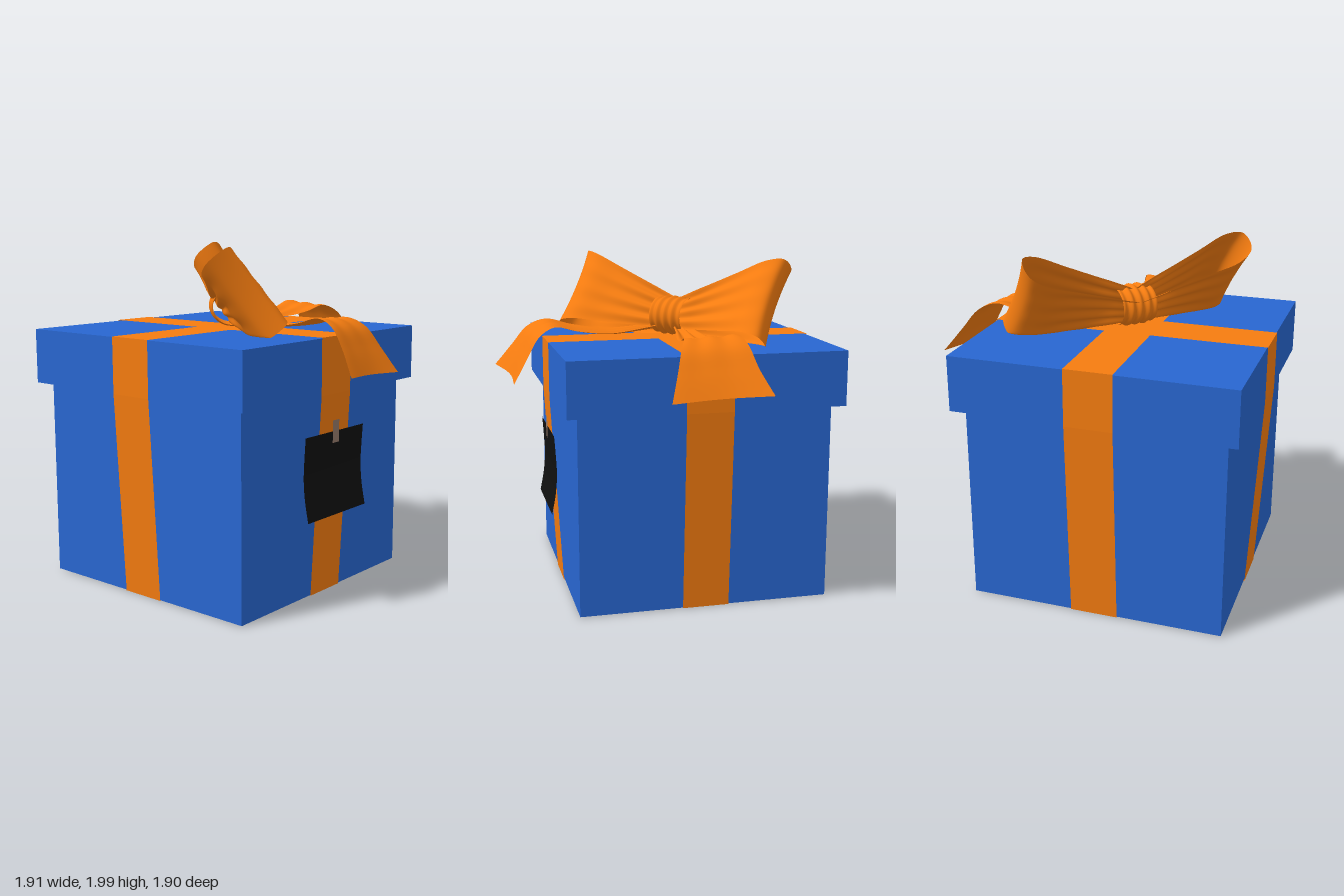
import * as THREE from 'three';

const mat = (color) => new THREE.MeshStandardMaterial({ color, side: THREE.DoubleSide });

// Surface sampled from fn(s, t) -> [x, y, z], with s and t in 0..1
function sheet(ns, nt, fn, flat = false) {
  const pos = [], idx = [];
  for (let i = 0; i <= ns; i++) {
    for (let j = 0; j <= nt; j++) {
      pos.push(...fn(i / ns, j / nt));
      if (i < ns && j < nt) {
        const a = i * (nt + 1) + j, b = a + nt + 1;
        idx.push(a, b, a + 1, b, b + 1, a + 1);
      }
    }
  }
  let geo = new THREE.BufferGeometry();
  geo.setAttribute('position', new THREE.Float32BufferAttribute(pos, 3));
  geo.setIndex(idx);
  if (flat) geo = geo.toNonIndexed();
  geo.computeVertexNormals();
  return geo;
}

export function createModel() {
  const model = new THREE.Group();
  const blue = mat(0x2866d0), orange = mat(0xf57c10);
  const black = mat(0x101010), clipGrey = mat(0x94796a);
  const CX = -0.14, CZ = -0.13;

  const add = (parent, name, geo, material) => {
    const mesh = new THREE.Mesh(geo, material);
    mesh.name = name;
    parent.add(mesh);
    return mesh;
  };

  // Box and lid
  add(model, 'boxBody', new THREE.BoxGeometry(1.48, 1.2, 1.48), blue).position.set(CX, 0.603, CZ);
  add(model, 'lid', new THREE.BoxGeometry(1.61, 0.32, 1.61), blue).position.set(CX, 1.33, CZ);

  // Flat ribbons: closed loops over the lid, slanting in to the base
  function ribbonLoop(name, top, underside) {
    const half = [[0, top], [0.81, top], [0.81, 1.17], [0.745, 0.001], ...underside];
    const path = [...half, ...half.slice(1, -1).reverse().map(([a, y]) => [-a, y]), [0, top]];
    const n = path.length - 1;
    const geo = sheet(n, 1, (s, t) => {
      const [a, y] = path[Math.round(s * n)];
      return [(t - 0.5) * 0.275, y, a];
    }, true);
    const mesh = add(model, name, geo, orange);
    mesh.position.set(CX, 0, CZ);
    return mesh;
  }
  ribbonLoop('frontBackRibbon', 1.495, [[0.65, 0.005], [0.42, 0.001], [0, 0]]);
  ribbonLoop('sideRibbon', 1.493, [[0.7, 0.012], [0, 0.012]]).rotation.y = Math.PI / 2;

  // Curled gift tag and its clip
  const tagCurve = new THREE.CatmullRomCurve3([
    [0, 0.955, 0.676], [0, 0.85, 0.669], [0, 0.72, 0.664], [0, 0.6, 0.674], [0, 0.475, 0.698],
  ].map((p) => new THREE.Vector3(...p)));
  add(model, 'giftTag', sheet(12, 1, (s, t) => {
    const p = tagCurve.getPoint(s);
    return [-0.415 + 0.555 * t, p.y, p.z];
  }), black);
  add(model, 'tagClip', sheet(1, 1, (s, t) =>
    [-0.17 + 0.06 * t, 0.89 + 0.13 * s, 0.682 + 0.001 * s]), clipGrey);

  // Bow, set diagonally: local x runs along the loops, local z faces outward
  const bow = new THREE.Group();
  bow.name = 'bow';
  bow.position.set(-0.13, 0, -0.13);
  bow.rotation.y = Math.PI / 4;
  model.add(bow);

  const loopPath = new THREE.CatmullRomCurve3([
    [0, 0.045], [0.2, 0.06], [0.42, 0.085], [0.6, 0.105], [0.69, 0.07], [0.71, 0],
    [0.69, -0.07], [0.6, -0.105], [0.42, -0.085], [0.2, -0.06], [0, -0.045],
  ].map(([u, w]) => new THREE.Vector3(u, w, 0)));

  for (const side of [1, -1]) {
    const geo = sheet(64, 32, (s, t) => {
      const p = loopPath.getPoint(s);
      const k = p.x / 0.7, q = 2 * t - 1;
      const halfWidth = 0.1 + 0.165 * k;
      // pleats gathered at the knot, fading outward
      const fold = 0.016 * Math.sin(q * 11 + s * 3) * Math.max(0, 1 - k) * Math.min(1, 0.3 + 3 * k);
      const w = p.y + fold;
      const y = 1.61 + 0.125 * k - 0.79 * q * halfWidth + 0.61 * w;
      const z = 0.055 * k + 0.61 * q * halfWidth + 0.79 * w;
      return [side * (p.x - 0.02 * (1 - q * q) * k), Math.max(y, 1.5), z];
    });
    add(bow, side > 0 ? 'leftLoop' : 'rightLoop', geo, orange);
  }

  // Knot: gathered band around the middle
  const profile = [];
  for (let i = 0; i <= 32; i++) {
    const a = i / 16 - 1;
    profile.push(new THREE.Vector2(0.118 + 0.007 * Math.cos(a * 13) - 0.012 * a ** 4, a * 0.108));
  }
  const knotGeo = new THREE.LatheGeometry(profile, 40);
  knotGeo.rotateZ(Math.PI / 2);
  const knot = add(bow, 'knot', knotGeo, orange);
  knot.position.set(0, 1.62, 0.02);
  knot.scale.set(1, 0.95, 1.08);

  // Tails: rows of [distance out, height, one edge, other edge]
  const rows = [
    [-0.08, 1.57, -0.17, -0.09], [0.1, 1.545, -0.2, -0.07], [0.3, 1.53, -0.24, -0.03],
    [0.5, 1.555, -0.28, 0], [0.65, 1.59, -0.29, 0.02], [0.75, 1.545, -0.31, 0.06],
    [0.83, 1.43, -0.34, 0.1], [0.91, 1.295, -0.4, 0.15],
  ];
  const centre = new THREE.CatmullRomCurve3(rows.map(([d, y]) => new THREE.Vector3(0, y, d)));
  const edges = new THREE.CatmullRomCurve3(rows.map(([d, , a, b]) => new THREE.Vector3(a, b, d)));
  const tailPoint = (s, t) => {
    const c = centre.getPoint(s), e = edges.getPoint(s), q = 1 - 2 * t;
    const ripple = 0.012 * Math.sin(t * 15) * (1 - s);
    return [
      e.x + (e.y - e.x) * t,
      c.y + 0.016 * q * s + ripple,
      c.z + 0.03 * q * s * s - 0.02 * Math.cos(q * 2.2) * s ** 6 + 0.01 * s ** 6,
    ];
  };
  add(model, 'frontTail', sheet(40, 20, tailPoint), orange);
  add(model, 'leftTail', sheet(40, 20, (s, t) => tailPoint(s, t).reverse()), orange);

  return model;
}
